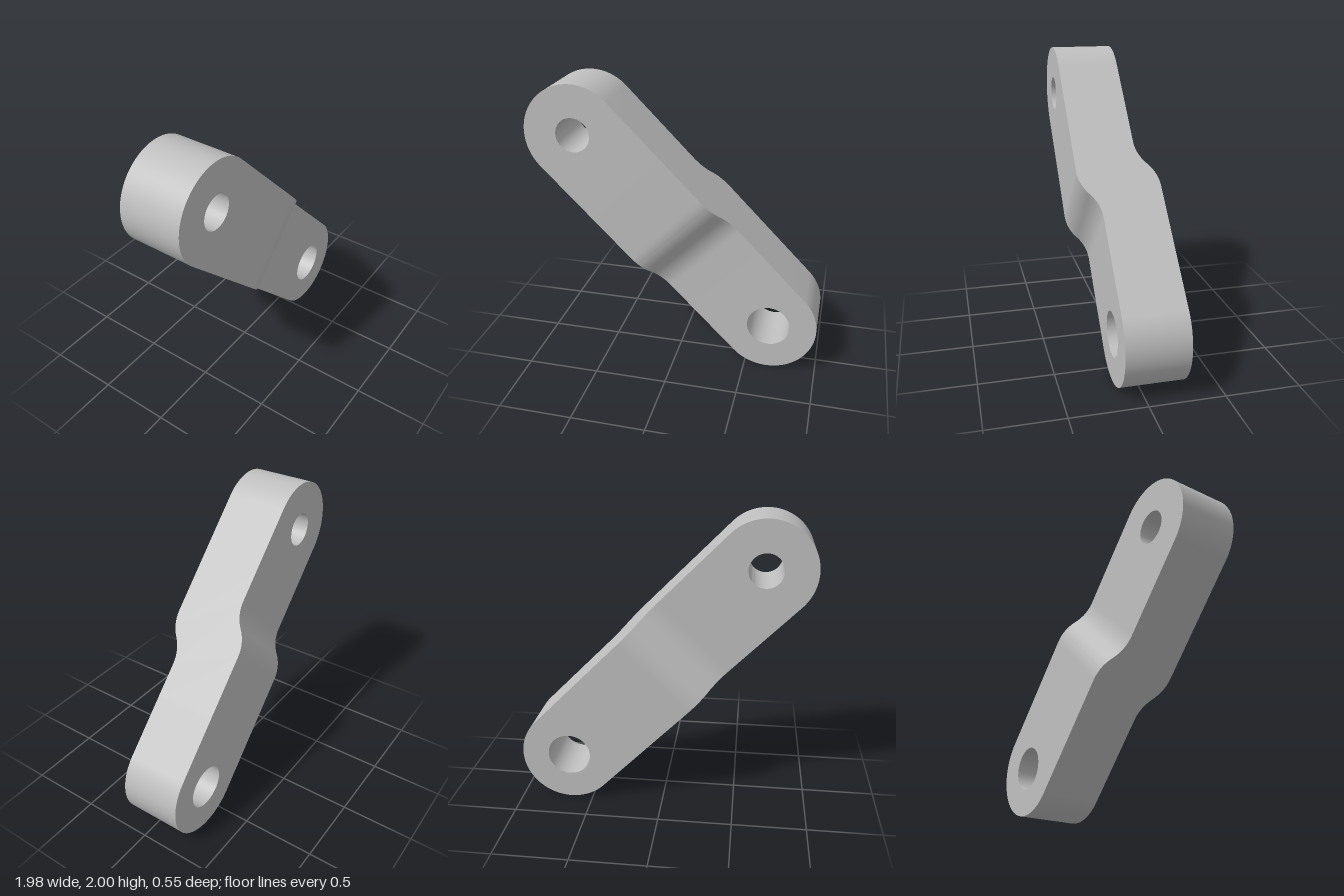
import * as THREE from 'three';
import { toCreasedNormals } from 'three/addons/utils/BufferGeometryUtils.js';

const R = 0.333;          // half width and end radius
const HALF = 0.936;       // centre to each hole along the bar
const JOIN = 0.5;         // where the eyes meet the stepped middle
const THICK = 0.422;
const TILT = -Math.atan2(0.667, 0.657);

// Drop the hidden walls where parts meet, then smooth the curved faces
function finish(geometry) {
  const p = geometry.attributes.position;
  const kept = [];
  for (let i = 0; i < p.count; i += 3) {
    const hidden = [0, 1, 2].every((k) => Math.abs(Math.abs(p.getX(i + k)) - JOIN) < 1e-5);
    if (hidden) continue;
    for (let k = 0; k < 3; k++) kept.push(p.getX(i + k), p.getY(i + k), p.getZ(i + k));
  }
  const result = new THREE.BufferGeometry();
  result.setAttribute('position', new THREE.Float32BufferAttribute(kept, 3));
  return toCreasedNormals(result, 0.5);
}

// Rounded end with a through hole; side is -1 (upper) or 1 (lower)
function eyeGeometry(side, holeRadius, backZ) {
  const shape = new THREE.Shape();
  const start = side > 0 ? -Math.PI / 2 : Math.PI / 2;
  shape.moveTo(side * JOIN, -side * R);
  shape.lineTo(side * HALF, -side * R);
  shape.absarc(side * HALF, 0, R, start, start + Math.PI, false);
  shape.lineTo(side * JOIN, side * R);
  shape.closePath();
  const hole = new THREE.Path();
  hole.absarc(side * HALF, 0, holeRadius, 0, Math.PI * 2, true);
  shape.holes.push(hole);
  const g = new THREE.ExtrudeGeometry(shape, { depth: THICK, bevelEnabled: false, curveSegments: 40 });
  return finish(g.translate(0, 0, backZ));
}

// S-shaped step made from two tangent arcs, dropping from zTop
function stepPoints(u, zTop) {
  const length = 0.35, drop = 0.127, n = 14;
  const angle = 2 * Math.atan(drop / length);
  const radius = length / (2 * Math.sin(angle));
  const first = [], second = [];
  for (let i = 0; i <= n; i++) {
    const a = (angle * i) / n;
    const du = radius * Math.sin(a), dz = radius * (1 - Math.cos(a));
    first.push(new THREE.Vector2(u + du, zTop - dz));
    if (i < n) second.unshift(new THREE.Vector2(u + length - du, zTop - drop + dz));
  }
  return [...first, ...second];
}

// Stepped middle: side profile extruded across the width
function webGeometry() {
  const front = [new THREE.Vector2(-JOIN, 0.275), ...stepPoints(-0.075, 0.275), new THREE.Vector2(JOIN, 0.148)];
  const back = [new THREE.Vector2(-JOIN, -0.147), ...stepPoints(-0.275, -0.147), new THREE.Vector2(JOIN, -0.274)];
  const shape = new THREE.Shape([...back, ...front.reverse()]);
  const g = new THREE.ExtrudeGeometry(shape, { depth: 2 * R, bevelEnabled: false });
  return finish(g.rotateX(Math.PI / 2).translate(0, R, 0));
}

export function createModel() {
  const steel = new THREE.MeshStandardMaterial({ color: 0xbfbfbf });
  steel.name = 'grey steel';
  const group = new THREE.Group();
  group.name = 'offsetLink';
  const add = (name, geometry) => {
    const mesh = new THREE.Mesh(geometry, steel);
    mesh.name = name;
    group.add(mesh);
  };
  add('upperEye', eyeGeometry(-1, 0.115, -0.147));
  add('lowerEye', eyeGeometry(1, 0.148, -0.274));
  add('steppedWeb', webGeometry());

  // Lean the bar from upper right-hand side down to the left-hand side
  group.rotation.z = TILT;
  group.position.y = 1;
  const model = new THREE.Group();
  model.name = 'link';
  model.add(group);
  return model;
}
